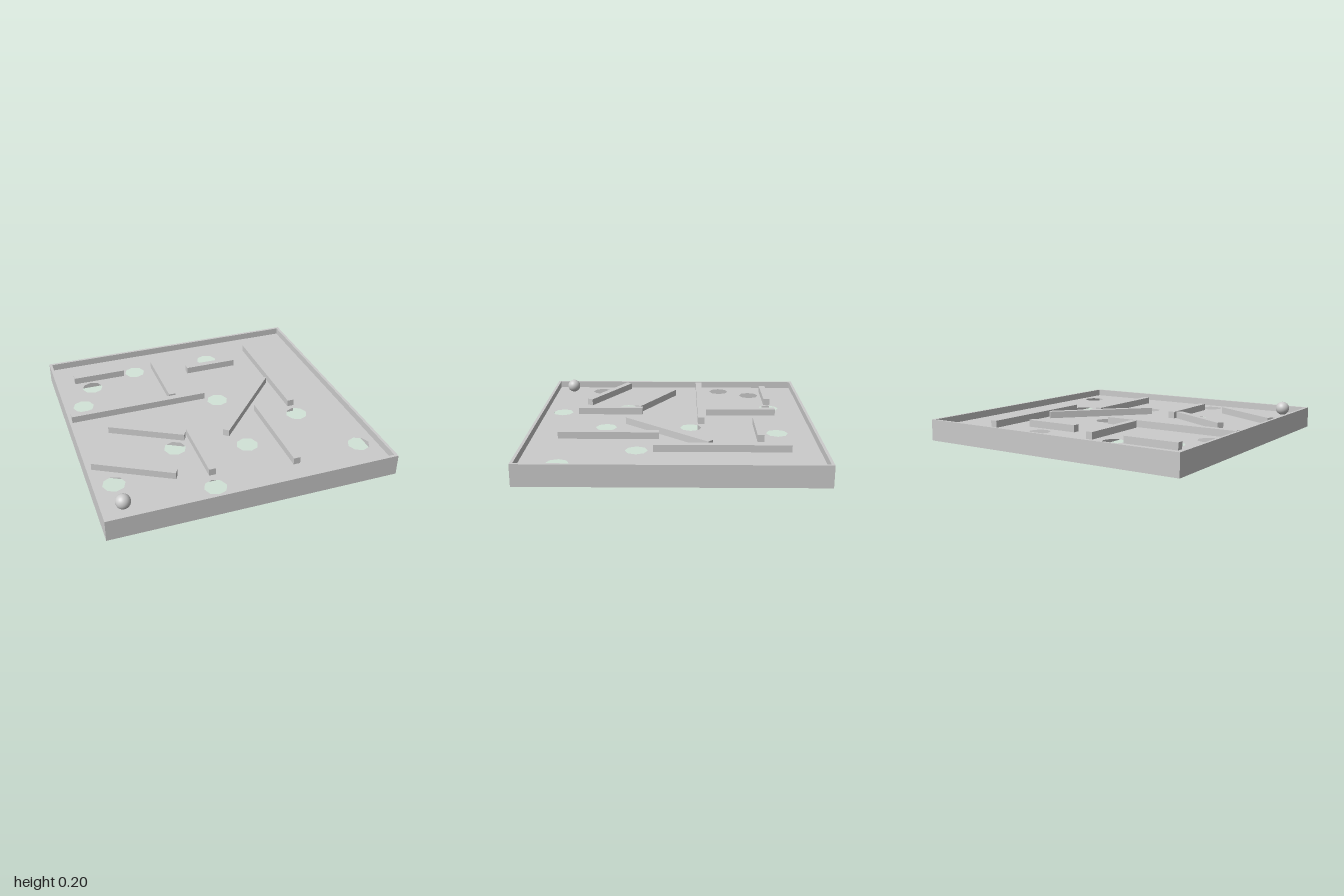
import * as THREE from 'three';

const FLOOR = 0.1, HEIGHT = 0.15, RIM = 0.02;

// Maze walls as [x1, z1, x2, z2] centre lines
const WALLS = [
  [-0.85, -0.733, -0.458, -0.733],
  [-0.198, -0.767, -0.198, -0.246],
  [0.03, -0.604, 0.425, -0.604],
  [0.61, -0.79, 0.61, 0.128],
  [-0.973, -0.203, 0.035, -0.203],
  [0.353, 0.096, 0.353, 0.797],
  [-0.22, 0.238, -0.22, 0.725],
  [-0.743, 0.008, -0.265, 0.275],
  [-0.947, 0.388, -0.447, 0.668],
  [0.548, -0.254, 0.019, 0.334],
];

// Hole centres as [x, z]
const HOLES = [
  [-0.365, -0.735], [-0.733, -0.612], [-0.853, -0.369], [0.243, -0.735],
  [0.12, -0.126], [0.607, 0.24], [0.12, 0.484], [-0.365, 0.361],
  [-0.853, 0.607], [-0.243, 0.85], [0.853, 0.73],
];
const HOLE_RADIUS = 0.077;

function polygon(cx, cy, radius, sides, turn = 0) {
  const points = [];
  for (let i = 0; i < sides; i++) {
    const a = turn + (i / sides) * Math.PI * 2;
    points.push(new THREE.Vector2(cx + radius * Math.cos(a), cy + radius * Math.sin(a)));
  }
  return points;
}

const square = (half) => polygon(0, 0, half * Math.SQRT2, 4, Math.PI / 4);

export function createModel() {
  const group = new THREE.Group();
  const material = new THREE.MeshStandardMaterial({ color: 0xcccccc });
  const thin = new THREE.MeshStandardMaterial({ color: 0xcccccc, side: THREE.DoubleSide });

  const add = (name, geometry, mat = material) => {
    const mesh = new THREE.Mesh(geometry, mat);
    mesh.name = name;
    group.add(mesh);
    return mesh;
  };

  // Square frame, open above and below the floor
  const frame = new THREE.Shape(square(1));
  frame.holes.push(new THREE.Path(square(1 - RIM)));
  add('frame', new THREE.ExtrudeGeometry(frame, { depth: HEIGHT, bevelEnabled: false })
    .rotateX(-Math.PI / 2));

  // Thin floor with octagonal holes (shape y becomes -z)
  const floor = new THREE.Shape(square(1 - RIM));
  for (const [x, z] of HOLES) {
    floor.holes.push(new THREE.Path(polygon(x, -z, HOLE_RADIUS, 8)));
  }
  add('floor', new THREE.ShapeGeometry(floor).rotateX(-Math.PI / 2), thin).position.y = FLOOR;

  // Maze walls pass through the floor and stick out on both sides
  for (const [x1, z1, x2, z2] of WALLS) {
    const length = Math.hypot(x2 - x1, z2 - z1);
    const wall = add('mazeWall', new THREE.BoxGeometry(length, 0.1, 0.048));
    wall.position.set((x1 + x2) / 2, FLOOR - 0.001, (z1 + z2) / 2);
    wall.rotation.y = -Math.atan2(z2 - z1, x2 - x1);
  }

  // Ball resting in the front corner
  add('ball', new THREE.SphereGeometry(0.05, 24, 16)).position.set(-0.85, FLOOR + 0.05, 0.85);

  return group;
}
